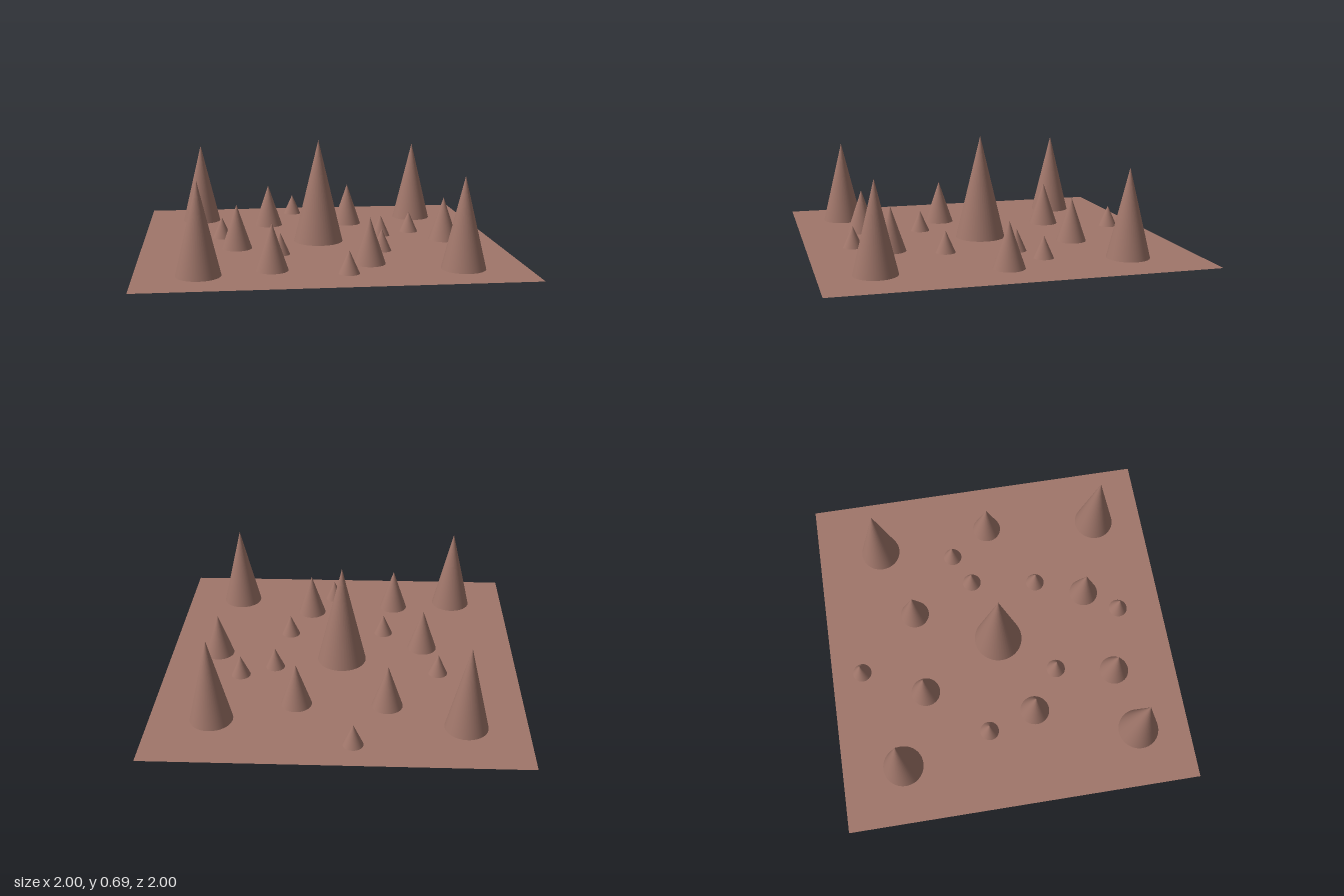
import * as THREE from 'three';

const GROUND_Y = 0.107;

// Cone sizes [radius, height] and their [x, z] positions on the ground
const SPIKES = {
  largeSpike: {
    size: [0.115, 0.478],
    at: [[-0.675, -0.655], [0.669, -0.626], [-0.675, 0.71], [0.669, 0.71]],
  },
  mediumSpike: {
    size: [0.084, 0.246],
    at: [[-0.262, -0.471], [0.23, -0.471], [0.723, 0.043], [-0.471, 0.139], [-0.305, 0.642], [0.209, 0.557]],
  },
  smallSpike: {
    size: [0.054, 0.12],
    at: [[-0.086, -0.825], [-0.551, -0.139], [0.567, -0.193], [0.38, -0.102], [0.321, 0.278], [-0.241, 0.305], [0.075, 0.744]],
  },
};

export function createModel() {
  const model = new THREE.Group();
  const rock = new THREE.MeshStandardMaterial({ color: 0xa0766a });
  const sheet = new THREE.MeshStandardMaterial({ color: 0xa0766a, side: THREE.DoubleSide });

  // Thin flat ground
  const ground = new THREE.Mesh(new THREE.PlaneGeometry(2, 2).rotateX(-Math.PI / 2), sheet);
  ground.name = 'ground';
  ground.position.y = GROUND_Y;
  model.add(ground);

  // Cone standing on its base at y
  const addCone = (name, radius, height, x, y, z) => {
    const cone = new THREE.Mesh(new THREE.ConeGeometry(radius, height, 48).translate(0, height / 2, 0), rock);
    cone.name = name;
    cone.position.set(x, y, z);
    model.add(cone);
  };

  // Central spike pokes through the ground
  addCone('centralSpike', 0.165, 0.69, 0, 0, 0);

  // Surrounding spikes
  for (const [name, { size, at }] of Object.entries(SPIKES)) {
    at.forEach(([x, z], i) => addCone(`${name}${i + 1}`, ...size, x, GROUND_Y, z));
  }
  return model;
}
